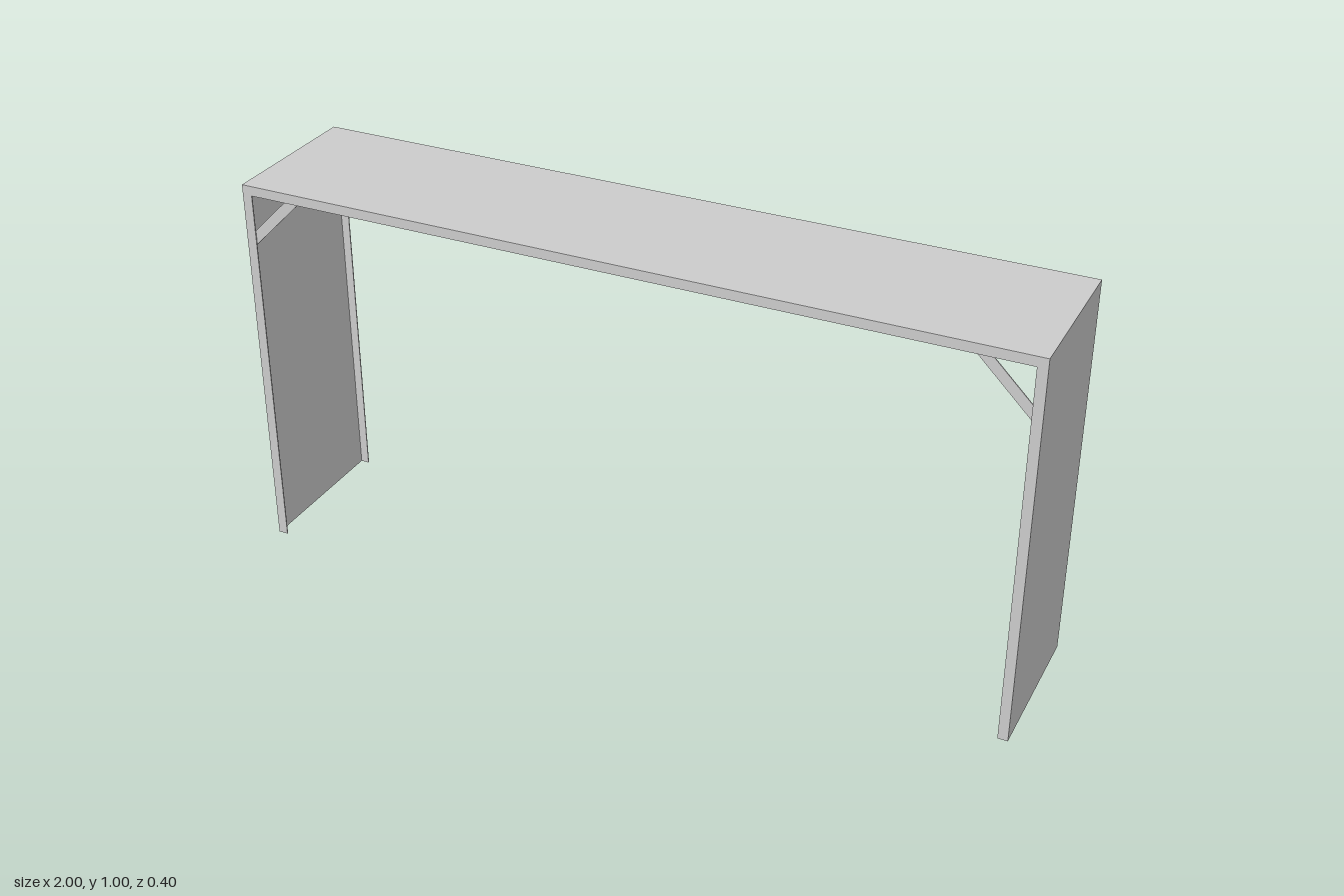
import * as THREE from 'three';

const W = 1, H = 1, D = 0.2;   // half width, height, half depth
const T = 0.003;               // sheet thickness
const F = 0.025;               // flange width

export function createModel() {
  const group = new THREE.Group();
  const material = new THREE.MeshStandardMaterial({ color: 0xcccccc, flatShading: true });

  function add(name, geometry, x = 0, y = 0, z = 0) {
    const mesh = new THREE.Mesh(geometry, material);
    mesh.name = name;
    mesh.position.set(x, y, z);
    group.add(mesh);
  }

  // thin plate cut from a closed outline in the xy plane, centred on z
  function plate(name, points, z) {
    const shape = new THREE.Shape(points.map(([x, y]) => new THREE.Vector2(x, y)));
    add(name, new THREE.ExtrudeGeometry(shape, { depth: T, bevelEnabled: false }), 0, 0, z - T / 2);
  }

  // sheet skin: top and two sides
  const depth = 2 * (D - T);
  add('topPanel', new THREE.BoxGeometry(2 * W, T, depth), 0, H - T / 2, 0);
  for (const [side, s] of [['left', 1], ['right', -1]]) {
    add(side + 'Panel', new THREE.BoxGeometry(T, H - T, depth), s * (W - T / 2), (H - T) / 2, 0);
  }

  for (const [end, e] of [['front', 1], ['back', -1]]) {
    // inward flange running up both legs and across the top
    plate(end + 'Flange', [
      [-W, 0], [-W + F, 0], [-W + F, H - F], [W - F, H - F],
      [W - F, 0], [W, 0], [W, H], [-W, H],
    ], e * (D - T / 2));

    // diagonal corner braces fixed to the inside of the flange
    const near = 0.143, far = 0.18;
    for (const [side, s] of [['Left', 1], ['Right', -1]]) {
      plate(end + side + 'Brace', [
        [s * (W - T), H - near + T], [s * (W - T), H - far + T],
        [s * (W - far + T), H - T], [s * (W - near + T), H - T],
      ], e * (D - 1.5 * T));
    }
  }
  return group;
}
